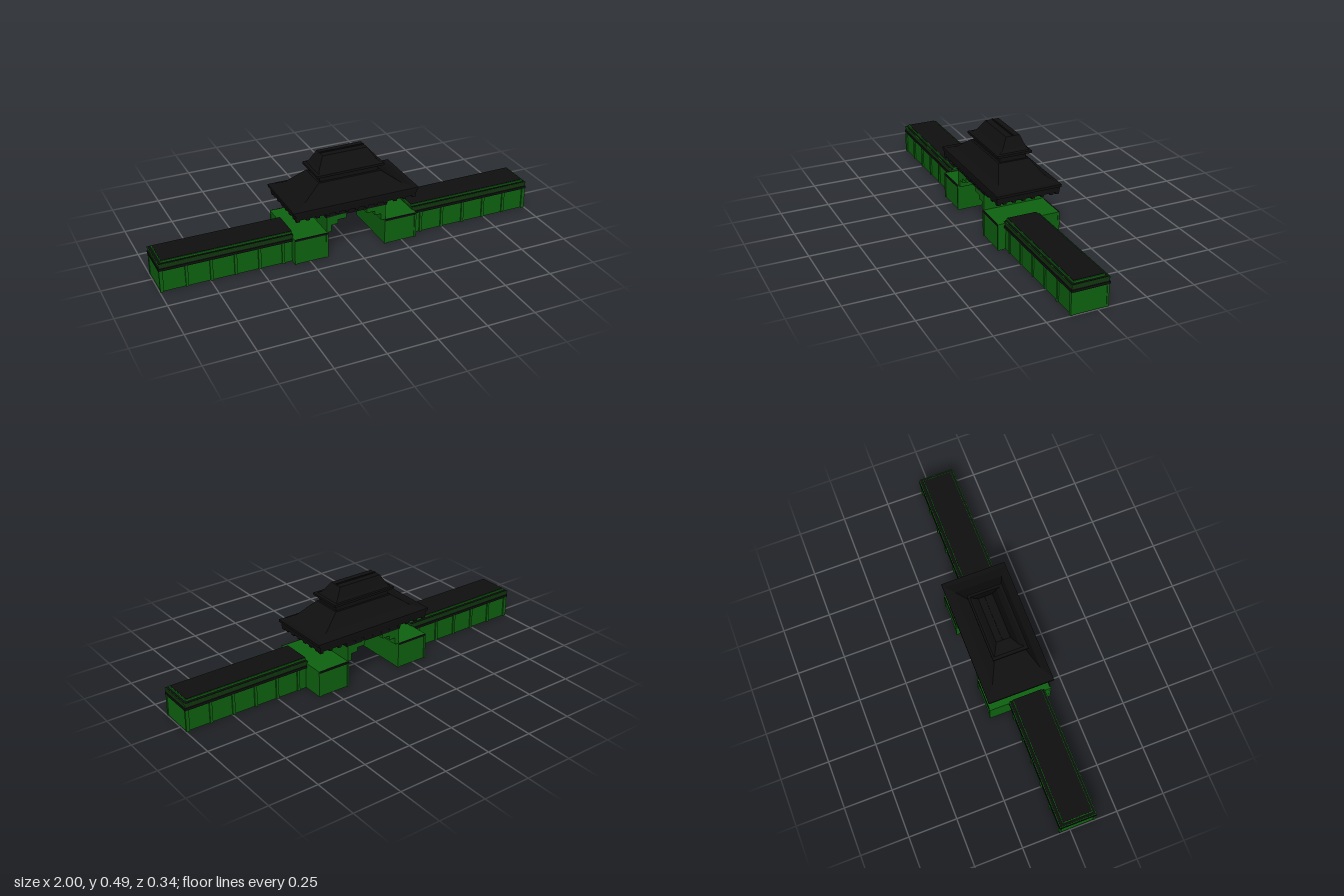
import * as THREE from 'three';

export function createModel() {
  const model = new THREE.Group();
  model.name = 'gatehouse';
  const mat = (name, color) => {
    const m = new THREE.MeshStandardMaterial({ color, side: THREE.DoubleSide });
    m.name = name;
    return m;
  };
  const green = mat('wall green', 0x0e620f);
  const darkGreen = mat('band dark green', 0x12330f);
  const black = mat('roof black', 0x0f0f10);

  const add = (parent, name, geometry, material) => {
    const m = new THREE.Mesh(geometry, material);
    m.name = name;
    parent.add(m);
    return m;
  };

  // Box given by its limits; an open box has no underside
  const box = (parent, name, material, x0, x1, y0, y1, z0, z1, open = false) => {
    const g = new THREE.BoxGeometry(x1 - x0, y1 - y0, z1 - z0);
    if (open) {
      const index = Array.from(g.index.array);
      index.splice(18, 6);
      g.setIndex(index);
      g.clearGroups();
    }
    g.translate((x0 + x1) / 2, (y0 + y1) / 2, (z0 + z1) / 2);
    return add(parent, name, g, material);
  };

  // Four-sided solid lofted through rings of [half width, back z, front z, y]
  const hipped = (parent, name, material, rings) => {
    const corners = rings.map(([x, zb, zf, y]) => [[-x, y, zf], [x, y, zf], [x, y, zb], [-x, y, zb]]);
    const pos = [];
    const quad = (a, b, c, d) => pos.push(...a, ...b, ...c, ...a, ...c, ...d);
    for (let i = 0; i < corners.length - 1; i++) {
      for (let k = 0; k < 4; k++) {
        const n = (k + 1) % 4;
        quad(corners[i][k], corners[i][n], corners[i + 1][n], corners[i + 1][k]);
      }
    }
    const [a, b, c, d] = corners[0];
    quad(d, c, b, a);
    quad(...corners[corners.length - 1]);
    const g = new THREE.BufferGeometry();
    g.setAttribute('position', new THREE.Float32BufferAttribute(pos, 3));
    g.computeVertexNormals();
    return add(parent, name, g, material);
  };

  // Long wing wall with pilasters, cornice, band and capped top (built on +x)
  const buildSide = (side) => {
    const span = (a, b) => (side > 0 ? [a, b] : [-b, -a]);
    const part = (parent, name, material, x0, x1, ...rest) =>
      box(parent, name, material, ...span(x0, x1), ...rest);

    const wing = new THREE.Group();
    wing.name = side > 0 ? 'leftWing' : 'rightWing';
    model.add(wing);
    part(wing, 'wingWall', green, 0.33, 0.995, 0, 0.116, -0.049, 0.124, true);
    for (let i = 0; i < 6; i++) {
      const x = 0.37 + i * 0.122;
      part(wing, 'frontPilaster', green, x, x + 0.014, 0, 0.116, 0.124, 0.131);
      part(wing, 'backPilaster', green, x, x + 0.014, 0, 0.116, -0.056, -0.049);
    }
    for (const z of [-0.056, 0.121]) part(wing, 'endPilaster', green, 0.985, 0.998, 0, 0.116, z, z + 0.01);
    part(wing, 'wingCornice', black, 0.325, 1, 0.114, 0.127, -0.06, 0.132);
    part(wing, 'wingBand', darkGreen, 0.325, 0.997, 0.127, 0.147, -0.056, 0.128);
    part(wing, 'wingEdge', green, 0.325, 1, 0.146, 0.149, -0.06, 0.131);
    part(wing, 'wingDeck', black, 0.325, 0.996, 0.149, 0.151, -0.056, 0.127);
    part(wing, 'wingCap', green, 0.325, 0.985, 0.151, 0.16, -0.042, 0.117);
    part(wing, 'wingRoof', black, 0.325, 0.98, 0.16, 0.162, -0.038, 0.113);

    // Gate pier with corner posts and dark trim
    const pier = new THREE.Group();
    pier.name = side > 0 ? 'leftPier' : 'rightPier';
    model.add(pier);
    part(pier, 'pierBody', green, 0.155, 0.33, 0, 0.138, -0.16, 0.161, true);
    for (const x of [0.154, 0.321]) {
      part(pier, 'frontCornerPost', green, x, x + 0.01, 0, 0.138, 0.156, 0.165);
      part(pier, 'backCornerPost', green, x, x + 0.01, 0, 0.138, -0.164, -0.155);
    }
    for (const z of [-0.165, 0.159]) part(pier, 'pierTrim', black, 0.156, 0.329, 0.128, 0.138, z, z + 0.007);

    // Stepped corbels under the gate beam, with dark undersides
    for (const [x, y0, y1] of [[0.135, 0.138, 0.175], [0.1, 0.175, 0.197], [0.055, 0.197, 0.222]]) {
      part(pier, 'corbel', green, x, 0.158, y0, y1, -0.16, 0.16);
      part(pier, 'corbelUnderside', black, x + 0.002, 0.154, y0 - 0.002, y0, -0.158, 0.158);
    }
  };
  buildSide(1);
  buildSide(-1);

  // Beam above the passage
  const roof = new THREE.Group();
  roof.name = 'gateRoof';
  model.add(roof);
  box(roof, 'gateBeam', black, -0.165, 0.165, 0.219, 0.245, -0.16, 0.16);

  // Lower roof with its stepped eaves
  hipped(roof, 'lowerRoof', black, [
    [0.322, -0.165, 0.167, 0.242],
    [0.325, -0.167, 0.169, 0.272],
    [0.335, -0.17, 0.171, 0.273],
    [0.335, -0.17, 0.171, 0.286],
    [0.31, -0.158, 0.162, 0.289],
    [0.26, -0.122, 0.128, 0.307],
    [0.167, -0.076, 0.085, 0.374],
  ]);

  // Bracket blocks under the eaves
  for (let i = 0; i < 13; i++) {
    const x = -0.312 + i * 0.052;
    for (const z of [-0.164, 0.146]) box(roof, 'eaveBracket', black, x - 0.009, x + 0.009, 0.232, 0.244, z, z + 0.02);
  }
  for (let i = 0; i < 6; i++) {
    const z = -0.125 + i * 0.05;
    for (const x of [-0.32, 0.3]) box(roof, 'sideBracket', black, x, x + 0.02, 0.232, 0.244, z - 0.009, z + 0.009);
  }

  // Neck and upper roof
  box(roof, 'roofNeck', black, -0.157, 0.157, 0.372, 0.406, -0.065, 0.073);
  hipped(roof, 'upperRoof', black, [
    [0.17, -0.077, 0.083, 0.403],
    [0.18, -0.087, 0.095, 0.405],
    [0.18, -0.087, 0.095, 0.417],
    [0.165, -0.077, 0.081, 0.419],
    [0.152, -0.067, 0.057, 0.432],
    [0.12, -0.049, 0.024, 0.484],
  ]);
  box(roof, 'ridge', black, -0.118, 0.118, 0.483, 0.489, -0.017, -0.01);

  return model;
}
